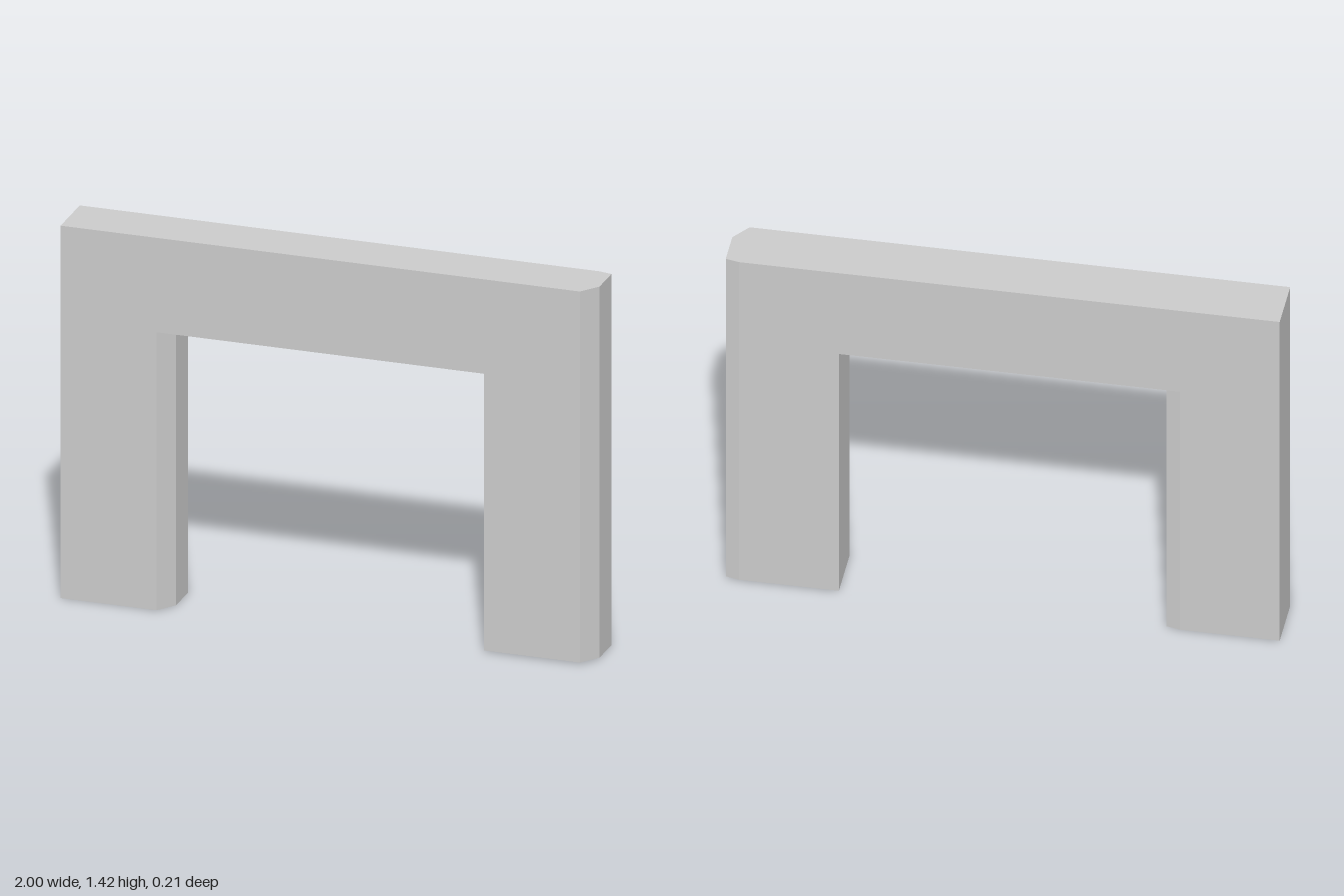
import * as THREE from 'three';
import { mergeGeometries } from 'three/addons/utils/BufferGeometryUtils.js';

const HALF = 0.104;          // half thickness
const OPEN = 0.59;           // half width of the opening
const BEAM_Y = 1.06, TOP_Y = 1.42;

// Chamfered nose on the +x side, front to back, as [x, z]
const nose = (x) => [[x - 0.05, HALF], [x, 0.036], [x, -0.093], [x - 0.05, -HALF]];
// Full plan section from a square end x0 to a chamfered end x1
const section = (x0, x1) => [[x0, HALF], ...nose(x1), [x0, -HALF]];

// Horizontal face over a plan section, facing up or down
function cap(points, y, up) {
  const s = up ? -1 : 1;
  const shape = new THREE.Shape(points.map(([x, z]) => new THREE.Vector2(x, s * z)));
  return new THREE.ShapeGeometry(shape).rotateX(s * Math.PI / 2).translate(0, y, 0).toNonIndexed();
}

// Vertical walls around a plan section
function walls(points, y0, y1) {
  const pos = [], uv = [];
  points.forEach(([ax, az], i) => {
    const [bx, bz] = points[(i + 1) % points.length];
    pos.push(ax, y0, az, bx, y0, bz, bx, y1, bz, ax, y0, az, bx, y1, bz, ax, y1, az);
    uv.push(0, 0, 1, 0, 1, 1, 0, 0, 1, 1, 0, 1);
  });
  const g = new THREE.BufferGeometry();
  g.setAttribute('position', new THREE.Float32BufferAttribute(pos, 3));
  g.setAttribute('uv', new THREE.Float32BufferAttribute(uv, 2));
  g.computeVertexNormals();
  return g;
}

export function createModel() {
  const group = new THREE.Group();
  group.name = 'archway';
  const material = new THREE.MeshStandardMaterial({ color: 0xcccccc, flatShading: true });
  const add = (name, ...parts) => {
    const mesh = new THREE.Mesh(mergeGeometries(parts), material);
    mesh.name = name;
    group.add(mesh);
  };

  // Legs, open at the top where they run into the beam
  const leg = (name, x0, x1, y0) => {
    const plan = section(x0, x1);
    add(name, walls(plan, y0, BEAM_Y), cap(plan, y0, false));
  };
  leg('rightLeg', -1, -OPEN, 0);
  leg('leftLeg', OPEN, 1, 0.005);

  // Beam across the top, with its underside only over the opening
  const beam = section(-1, 1);
  const underside = [...nose(-OPEN), [OPEN, -HALF], [OPEN, HALF]];
  add('beam', walls(beam, BEAM_Y, TOP_Y), cap(beam, TOP_Y, true), cap(underside, BEAM_Y, false));

  return group;
}
